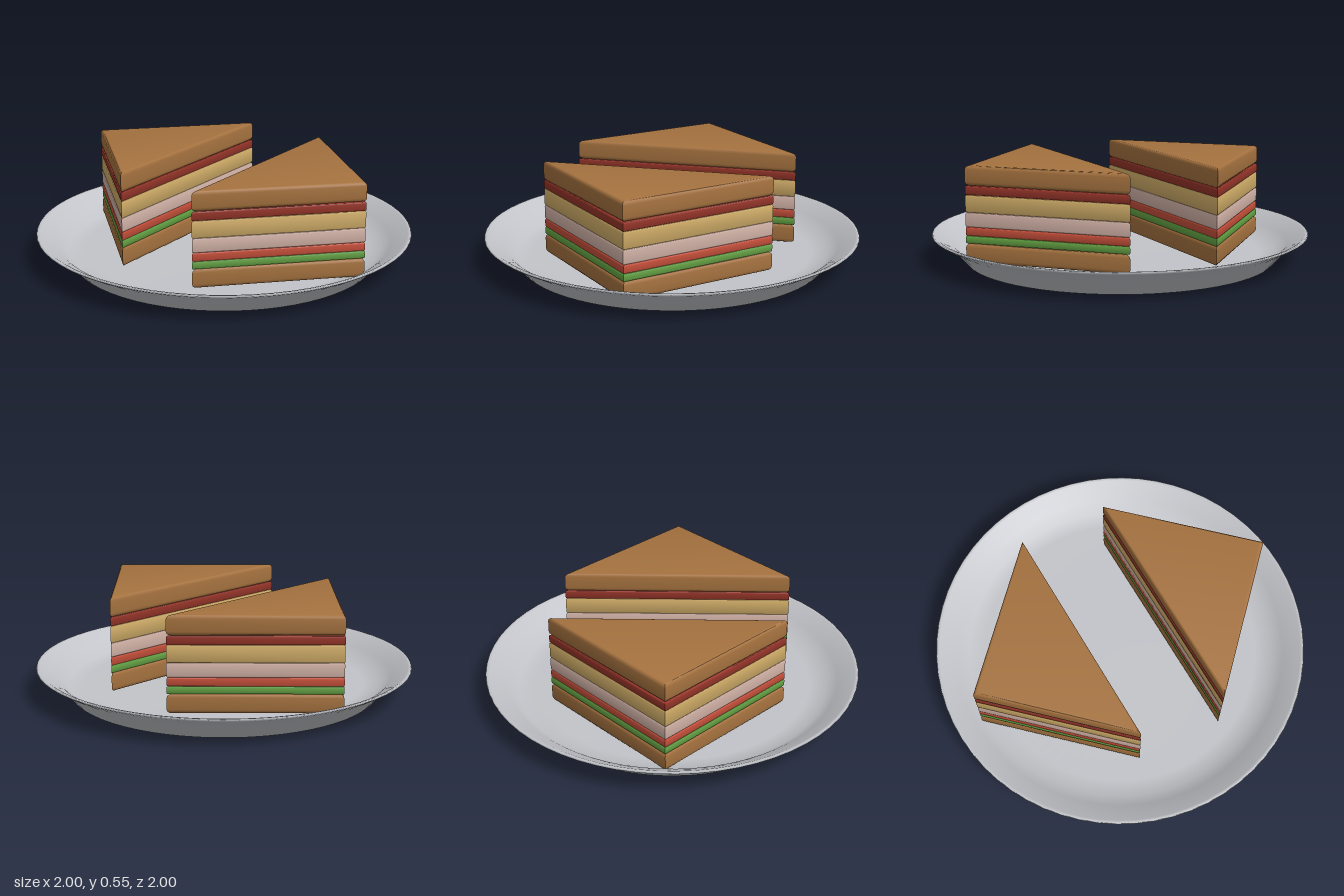
import * as THREE from 'three';
import { toCreasedNormals } from 'three/addons/utils/BufferGeometryUtils.js';

const mat = (name, color) => {
  const m = new THREE.MeshStandardMaterial({ color });
  m.name = name;
  return m;
};

const colors = {
  plate: mat('plateGrey', 0xc2c4c9),
  bread: mat('toastBrown', 0xa5723f),
  bacon: mat('baconRed', 0x963529),
  cheese: mat('cheeseTan', 0xcdaa66),
  ham: mat('hamPink', 0xcdaea3),
  tomato: mat('tomatoRed', 0xc8503b),
  lettuce: mat('lettuceGreen', 0x62a042),
};

// Filling order from the plate up: name, material, bottom, top, edge rounding
const layers = [
  ['bottomBread', 'bread', 0.05, 0.15, 0.02],
  ['lettuce', 'lettuce', 0.15, 0.19, 0.007],
  ['tomato', 'tomato', 0.19, 0.235, 0.008],
  ['ham', 'ham', 0.235, 0.31, 0.008],
  ['cheese', 'cheese', 0.31, 0.4, 0.008],
  ['bacon', 'bacon', 0.4, 0.447, 0.008],
  ['topBread', 'bread', 0.447, 0.55, 0.02],
];

// Outline of one half, as [x, z]
const corners = [[-0.765, -0.375], [-0.455, 0.44], [0.06, -0.665]];

// A triangular slab with rounded upper and lower edges
function slice(bottom, top, bevel) {
  const shape = new THREE.Shape(corners.map(([x, z]) => new THREE.Vector2(x, -z)));
  const geo = new THREE.ExtrudeGeometry(shape, {
    depth: top - bottom - 2 * bevel,
    bevelThickness: bevel,
    bevelSize: bevel,
    bevelOffset: -bevel,
    bevelSegments: 3,
  });
  geo.rotateX(-Math.PI / 2).translate(0, bottom + bevel, 0);
  return toCreasedNormals(geo, 0.7);
}

function sandwichHalf(name) {
  const half = new THREE.Group();
  half.name = name;
  for (const [part, color, bottom, top, bevel] of layers) {
    const mesh = new THREE.Mesh(slice(bottom, top, bevel), colors[color]);
    mesh.name = part;
    half.add(mesh);
  }
  return half;
}

export function createModel() {
  const model = new THREE.Group();
  model.name = 'sandwichOnPlate';

  // Shallow round plate, from the underside around the rim to the inner floor
  const profile = [
    [0, 0], [0.8, 0], [0.82, 0], [0.9, 0.087], [0.99, 0.138], [1, 0.146],
    [0.995, 0.153], [0.98, 0.15], [0.89, 0.096], [0.83, 0.048], [0.74, 0.04], [0, 0.04],
  ].map(([r, y]) => new THREE.Vector2(r, y));
  const plate = new THREE.Mesh(new THREE.LatheGeometry(profile, 64), colors.plate);
  plate.name = 'plate';
  model.add(plate);

  // Two halves, the second turned half way around
  const rightHalf = sandwichHalf('rightHalf');
  const leftHalf = sandwichHalf('leftHalf');
  leftHalf.rotation.y = Math.PI;
  leftHalf.position.set(0.01, 0, 0.01);
  model.add(rightHalf, leftHalf);

  return model;
}
